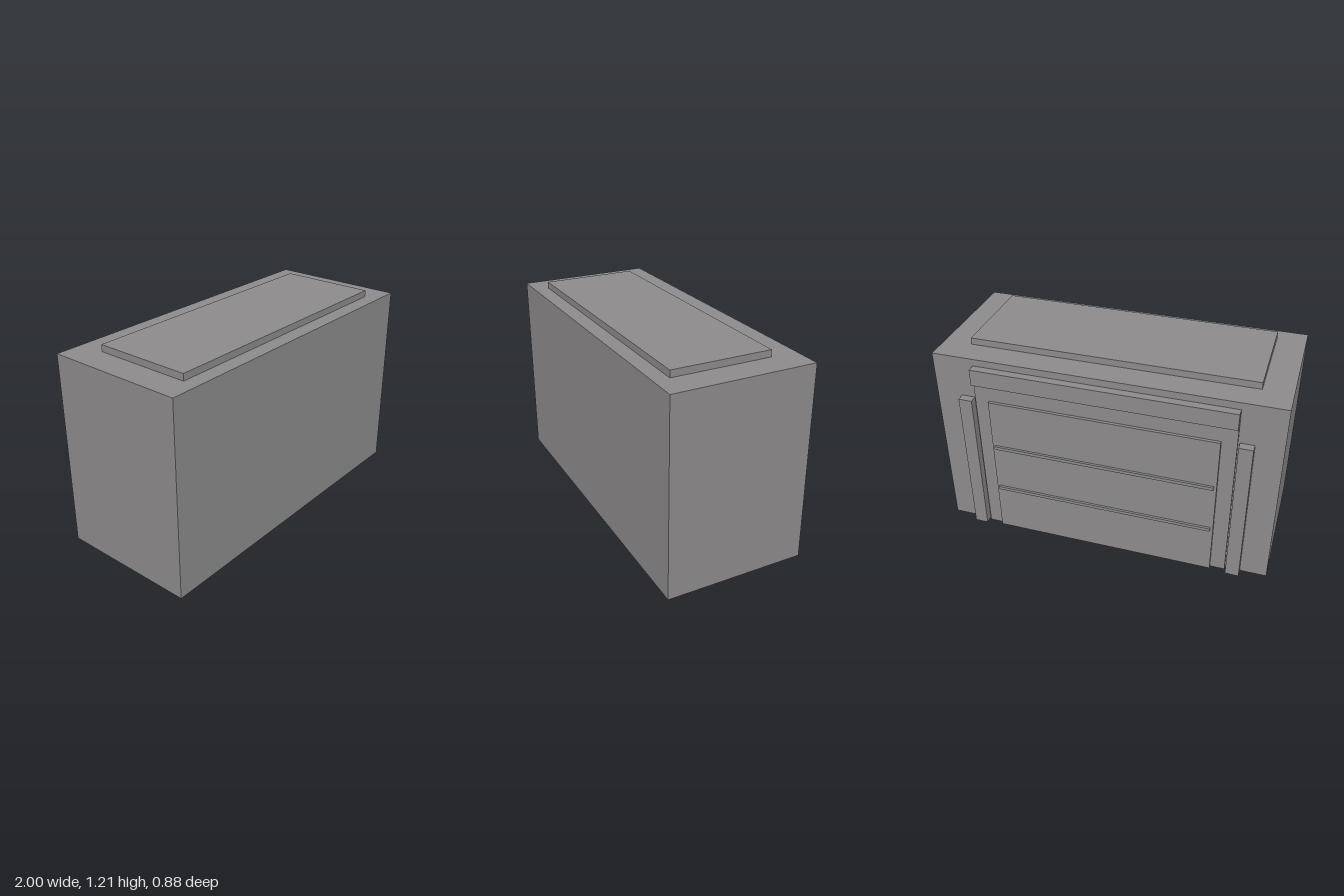
import * as THREE from 'three';

export function createModel() {
  const model = new THREE.Group();
  model.name = 'garageBuilding';
  const grey = new THREE.MeshStandardMaterial({ color: 0x8c8a8a });
  grey.name = 'concreteGrey';

  // Box given by its minimum and maximum on each axis
  const addBox = (name, [x0, x1], [y0, y1], [z0, z1]) => {
    const mesh = new THREE.Mesh(new THREE.BoxGeometry(x1 - x0, y1 - y0, z1 - z0), grey);
    mesh.position.set((x0 + x1) / 2, (y0 + y1) / 2, (z0 + z1) / 2);
    mesh.name = name;
    model.add(mesh);
  };

  const wall = -0.39;   // back wall plane
  const outer = -0.438; // outermost plane of the trim

  // Main block and raised roof slab
  addBox('body', [-1, 1], [0, 1.168], [wall, 0.442]);
  addBox('roofSlab', [-0.832, 0.832], [1.168, 1.208], [-0.232, 0.352]);

  // Doorway: surround, door and lintel on the back wall
  addBox('doorSurround', [-0.754, 0.754], [0, 1.016], [-0.406, wall]);
  addBox('door', [-0.668, 0.668], [0, 0.918], [-0.424, -0.406]);
  addBox('lintel', [-0.754, 0.754], [1.026, 1.126], [outer, wall]);

  // Horizontal ribs dividing the door into thirds
  for (const y of [0.31, 0.612]) {
    addBox('doorRib', [-0.652, 0.652], [y - 0.01, y + 0.01], [outer, -0.424]);
  }

  // Posts either side of the door
  addBox('leftPost', [0.764, 0.844], [0, 0.918], [outer, wall]);
  addBox('rightPost', [-0.844, -0.764], [0, 0.918], [outer, wall]);

  return model;
}
